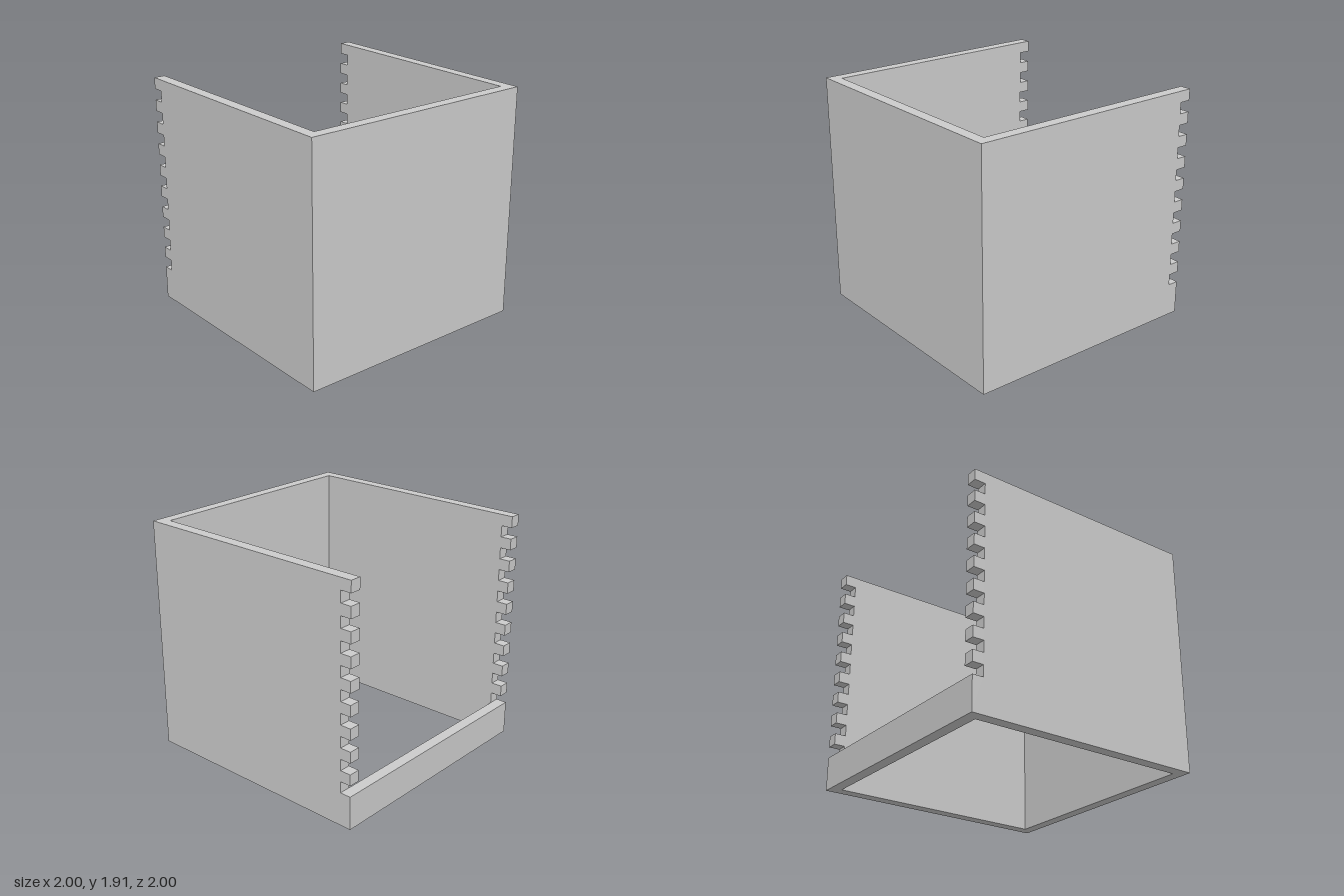
import * as THREE from 'three';

const U = 2 / 22;        // wall thickness, also the tooth height and depth
const HEIGHT = 21 * U;
const SILL = 3 * U;      // height of the low wall on the open side
const INNER = 2 - 2 * U; // clear span between front and back walls

// Full-width wall with square notches cut into its -x edge
function notchedWallGeometry() {
  const s = new THREE.Shape();
  s.moveTo(-1, 0);
  s.lineTo(1, 0);
  s.lineTo(1, HEIGHT);
  s.lineTo(-1, HEIGHT);
  for (let i = 8; i >= 0; i--) {
    const y = SILL + 2 * i * U;
    s.lineTo(-1, y + U);
    s.lineTo(-1 + U, y + U);
    s.lineTo(-1 + U, y);
    s.lineTo(-1, y);
  }
  s.closePath();
  return new THREE.ExtrudeGeometry(s, { depth: U, bevelEnabled: false });
}

export function createModel() {
  const group = new THREE.Group();
  group.name = 'openSidedBox';
  const material = new THREE.MeshStandardMaterial({ color: 0xcccccc, flatShading: true });

  const add = (name, geometry, x, y, z) => {
    const mesh = new THREE.Mesh(geometry, material);
    mesh.name = name;
    mesh.position.set(x, y, z);
    group.add(mesh);
  };

  // Front and back walls, toothed along the open side
  const notched = notchedWallGeometry();
  add('frontWall', notched, 0, 0, 1 - U);
  add('backWall', notched, 0, 0, -1);

  // Full-height wall on the left, low sill on the right
  add('leftWall', new THREE.BoxGeometry(U, HEIGHT, INNER), 1 - U / 2, HEIGHT / 2, 0);
  add('rightSill', new THREE.BoxGeometry(U, SILL, INNER), -1 + U / 2, SILL / 2, 0);

  return group;
}
